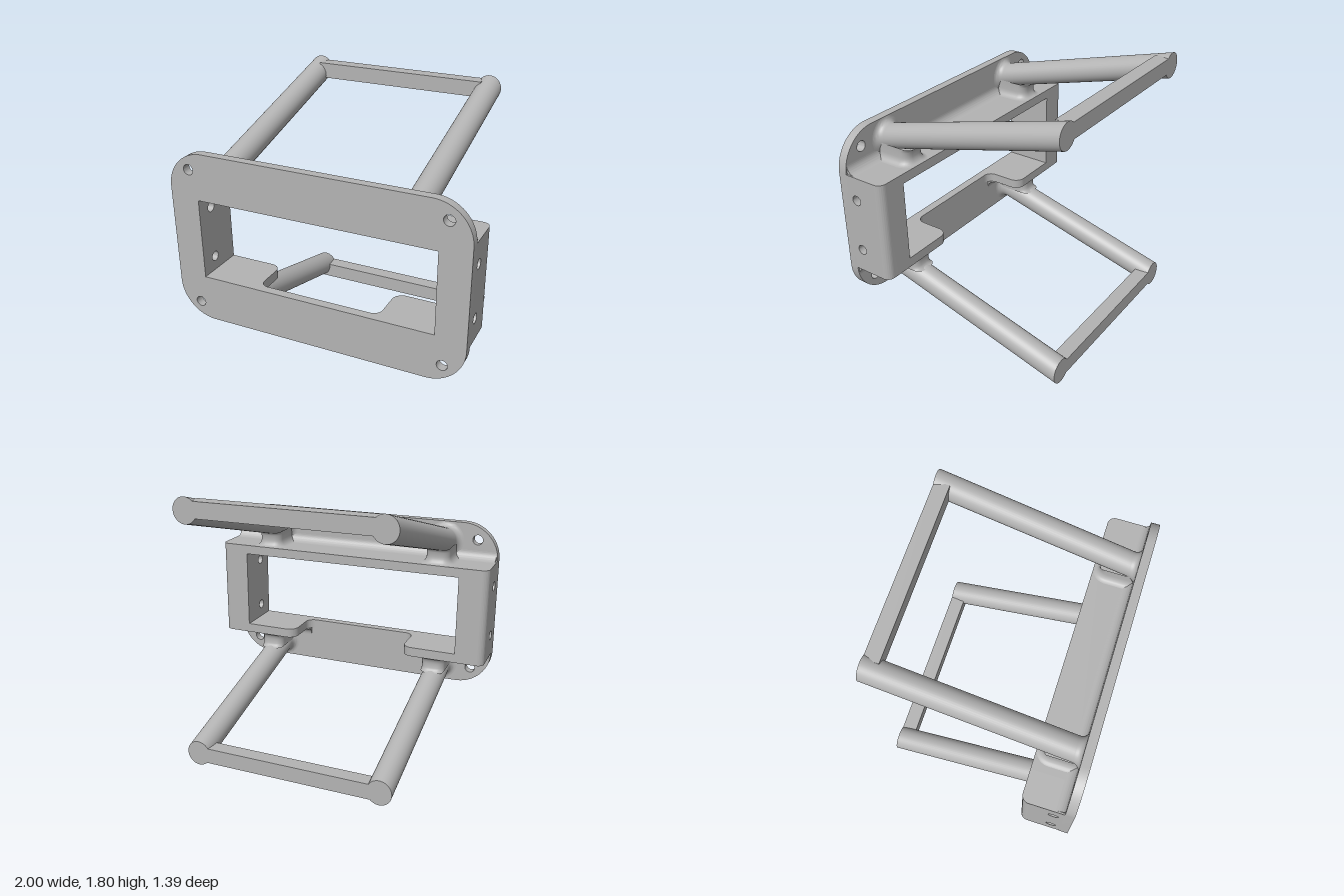
import * as THREE from 'three';
import { toCreasedNormals } from 'three/addons/utils/BufferGeometryUtils.js';

const MID_Y = 0.91;      // height of the symmetry plane
const FRONT = 0.695, PLATE_BACK = 0.635, REAR = 0.36;
const ARM_X = 0.632, ARM_R = 0.082, SLOPE = 0.268;

export function createModel() {
  const model = new THREE.Group();
  model.name = 'bracket';
  const grey = new THREE.MeshStandardMaterial({ color: 0xb3b3b3 });
  grey.name = 'grey';

  const add = (name, geometry, parent = model) => {
    const mesh = new THREE.Mesh(toCreasedNormals(geometry, 0.6), grey);
    mesh.name = name;
    parent.add(mesh);
    return mesh;
  };
  const extrude = (shape, depth) =>
    new THREE.ExtrudeGeometry(shape, { depth, bevelEnabled: false, curveSegments: 16 });
  // Shapes for these two use -z as their depth coordinate
  const alongX = (shape, x0, x1) => extrude(shape, x1 - x0).rotateY(Math.PI / 2).translate(x0, 0, 0);
  const alongY = (shape, y0, y1) => extrude(shape, y1 - y0).rotateX(-Math.PI / 2).translate(0, y0, 0);
  const box = (x0, x1, y0, y1, z0, z1) => new THREE.BoxGeometry(x1 - x0, y1 - y0, z1 - z0)
    .translate((x0 + x1) / 2, (y0 + y1) / 2, (z0 + z1) / 2);
  const rect = (x0, x1, y0, y1) => new THREE.Shape([[x0, y0], [x1, y0], [x1, y1], [x0, y1]]
    .map(p => new THREE.Vector2(...p)));
  const hole = (x, y, r) => new THREE.Path().absarc(x, y, r, 0, Math.PI * 2, true);
  // Half turn about the front-to-back axis through the middle
  const halfTurn = g => g.translate(0, -MID_Y, 0).rotateZ(Math.PI).translate(0, MID_Y, 0);

  // Skin over equal-length rings, closed at the first ring
  const loft = rings => {
    const n = rings[0].length, index = [];
    for (let i = 0; i < rings.length - 1; i++) {
      for (let j = 0; j < n; j++) {
        const k = (j + 1) % n, a = i * n + j, b = i * n + k;
        index.push(a, b, b + n, a, b + n, a + n);
      }
    }
    for (let j = 1; j < n - 1; j++) index.push(0, j + 1, j);
    const g = new THREE.BufferGeometry();
    g.setAttribute('position', new THREE.Float32BufferAttribute(rings.flat(2), 3));
    g.setIndex(index);
    g.computeVertexNormals();
    return g;
  };

  // Front plate: rounded rectangle with window and screw holes
  const plate = new THREE.Shape();
  const R = 0.25, px = 1 - R, y0 = 0.32, y1 = 1.5;
  plate.absarc(px, y0 + R, R, -Math.PI / 2, 0, false);
  plate.absarc(px, y1 - R, R, 0, Math.PI / 2, false);
  plate.absarc(-px, y1 - R, R, Math.PI / 2, Math.PI, false);
  plate.absarc(-px, y0 + R, R, Math.PI, Math.PI * 1.5, false);
  plate.holes.push(rect(-0.8, 0.8, 0.635, 1.185));
  for (const x of [-0.855, 0.855]) for (const y of [0.435, 1.385]) plate.holes.push(hole(x, y, 0.035));
  add('frontPlate', extrude(plate, FRONT - PLATE_BACK).translate(0, 0, PLATE_BACK));

  // Side walls: drilled panel plus a rear strip with a rounded outer edge
  const panel = rect(-PLATE_BACK, -0.41, 0.57, 1.25);
  for (const y of [0.73, 1.09]) panel.holes.push(hole(-0.57, y, 0.033));
  const strip = new THREE.Shape();
  strip.moveTo(0.8, -0.41);
  strip.lineTo(1, -0.41);
  strip.absarc(0.95, -0.41, 0.05, 0, Math.PI / 2, false);
  strip.lineTo(0.8, -REAR);
  for (const [side, turn] of [['left', g => g], ['right', halfTurn]]) {
    add(side + 'Wall', turn(alongX(panel, 0.8, 1)));
    add(side + 'WallEdge', turn(alongY(strip, 0.57, 1.25)));
  }

  // Top shelf spans the window; the bottom shelf is two ledges with a notch between
  add('topShelf', box(-0.8, 0.8, 1.185, 1.25, REAR, PLATE_BACK));
  const ledge = new THREE.Shape();
  ledge.moveTo(0.8, -PLATE_BACK);
  ledge.lineTo(0.36, -PLATE_BACK);
  ledge.absarc(0.36, -0.575, 0.06, -Math.PI / 2, 0, false);
  ledge.absarc(0.49, -0.43, 0.07, Math.PI, Math.PI / 2, true);
  ledge.lineTo(0.8, -REAR);
  for (const s of [1, -1]) {
    const pts = ledge.getPoints(10).map(p => new THREE.Vector2(s * p.x, p.y));
    add(s > 0 ? 'leftLedge' : 'rightLedge', alongY(new THREE.Shape(pts), 0.57, 0.635));
  }

  // Concave fillets between shelves and plate
  const fillet = new THREE.Shape();
  fillet.moveTo(-PLATE_BACK, 1.25);
  fillet.lineTo(-0.575, 1.25);
  fillet.absarc(-0.575, 1.31, 0.06, -Math.PI / 2, -Math.PI, true);
  add('topFillet', alongX(fillet, -0.99, 0.99));
  add('leftFillet', halfTurn(alongX(fillet, -0.99, -0.4)));
  add('rightFillet', halfTurn(alongX(fillet, 0.4, 0.99)));

  // Sloped round arm, cut upright at the back and flared into the plate
  const armRing = (z, r) => Array.from({ length: 40 }, (_, j) => {
    const a = j / 40 * Math.PI * 2;
    return [r * Math.cos(a), 1.725 - SLOPE * (z + FRONT) + r * 1.035 * Math.sin(a), z];
  });
  const armRings = [armRing(-FRONT, ARM_R)];
  for (let i = 0; i <= 8; i++) {
    const a = i / 8 * Math.PI / 2;
    armRings.push(armRing(0.585 + 0.05 * Math.sin(a), ARM_R + 0.045 * (1 - Math.cos(a))));
  }

  // Web joining the arm to the shelf, flared where it lands on the shelf
  const webRing = (y, o) => {
    const ring = [], c = 0.055 + o, hx = ARM_R + o - c, back = 0.4 - o + c, front = 0.66 - c;
    const corners = [[hx, back], [-hx, back], [-hx, front], [hx, front]];
    corners.forEach(([x, z], q) => {
      for (let i = 0; i <= 6; i++) {
        const a = (q + i / 6) * Math.PI / 2;
        ring.push([x + c * Math.cos(a), y, z - c * Math.sin(a)]);
      }
    });
    return ring;
  };
  const webRings = [];
  for (let i = 0; i <= 6; i++) {
    const a = i / 6 * Math.PI / 2;
    webRings.push(webRing(1.25 + 0.05 * (1 - Math.cos(a)), 0.04 * (1 - Math.sin(a))));
  }
  for (let i = 1; i <= 5; i++) {
    const a = i / 5 * Math.PI / 2;
    // Rear edge curves out again under the arm
    webRings.push(webRing(1.32 + 0.04 * Math.sin(a), 0)
      .map(([x, y, z]) => [x, y, z < 0.5 ? z - 0.035 * (1 - Math.cos(a)) : z]));
  }

  // Upper handle, and the lower one as its half turn
  for (const [name, turn] of [['upper', g => g], ['lower', halfTurn]]) {
    const handle = new THREE.Group();
    handle.name = name + 'Handle';
    for (const s of [-1, 1]) {
      add('arm', turn(loft(armRings).translate(s * ARM_X, 0, 0)), handle);
      add('armWeb', turn(loft(webRings).translate(s * ARM_X, 0, 0)), handle);
    }
    add('crossbar', turn(box(-0.6, 0.6, 1.68, 1.785, -FRONT, -0.595)), handle);
    model.add(handle);
  }
  return model;
}
